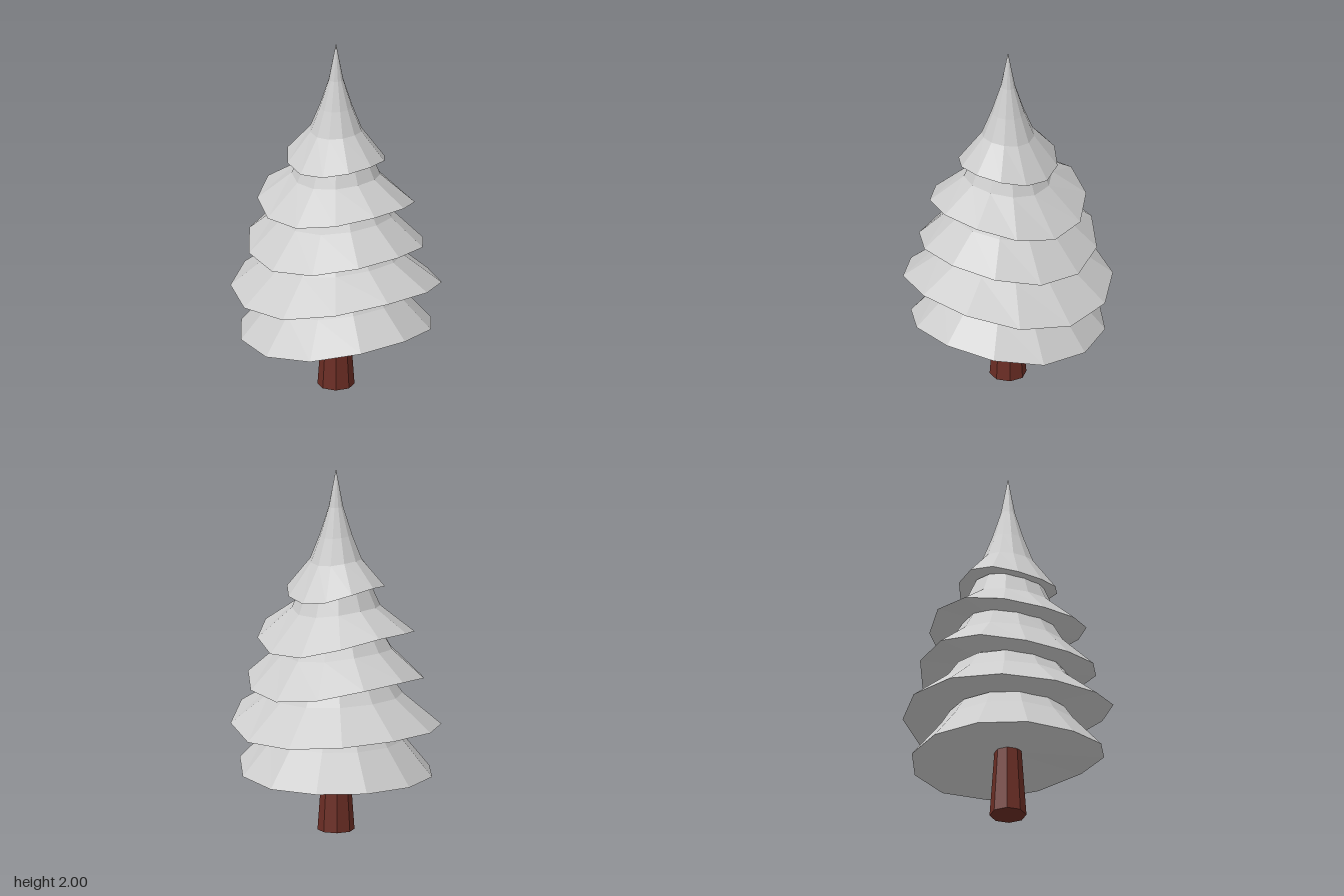
import * as THREE from 'three';

const SIDES = 12;

// One skirt of branches: a 12-sided lathe whose rim is lifted at the sides.
function makeTier({ rim, under, rings, apex, lift, skew = 0, offset = 0 }, material) {
  const profile = [[0, under], rim, ...rings, [0, apex]].map(([r, y]) => new THREE.Vector2(r, y));
  const geometry = new THREE.LatheGeometry(profile, SIDES, offset * Math.PI / SIDES);
  const pos = geometry.attributes.position;
  const [left, right, back] = lift;
  for (let i = 0; i < pos.count; i++) {
    const x = pos.getX(i), z = pos.getZ(i);
    const r = Math.hypot(x, z);
    const angle = Math.atan2(z, x) - skew;
    const c = Math.cos(angle), s = Math.sin(angle);
    const raise = (c > 0 ? left : right) * c * c + (s < 0 ? back : 0) * s * s;
    pos.setY(i, pos.getY(i) + raise * (r / rim[0]) ** 2);
  }
  geometry.computeVertexNormals();
  return new THREE.Mesh(geometry, material);
}

export function createModel() {
  const group = new THREE.Group();
  const foliage = new THREE.MeshStandardMaterial({ name: 'paleFoliage', color: 0xcccccc, flatShading: true });
  const bark = new THREE.MeshStandardMaterial({ name: 'brownBark', color: 0x6b2d24, flatShading: true });

  // Tapered eight-sided trunk
  const trunk = new THREE.Mesh(new THREE.CylinderGeometry(0.065, 0.1, 0.5, 8), bark);
  trunk.position.y = 0.25;
  trunk.name = 'trunk';
  group.add(trunk);

  // Skirts from bottom to top; lift is the rim's rise at +x, -x and the back
  const tiers = [
    { rim: [0.53, 0.315], under: 0.38, rings: [[0.37, 0.51], [0.32, 0.59]], apex: 0.72, lift: [0.095, 0, 0], skew: 0.1 },
    { rim: [0.57, 0.565], under: 0.61, rings: [[0.36, 0.75], [0.3, 0.84]], apex: 1.0, lift: [0.115, 0.035, -0.01], skew: 0.17, offset: 1 },
    { rim: [0.485, 0.805], under: 0.86, rings: [[0.31, 0.99], [0.25, 1.1]], apex: 1.25, lift: [0.085, 0.085, -0.015], skew: 0.1 },
    { rim: [0.425, 1.06], under: 1.11, rings: [[0.24, 1.23], [0.19, 1.345]], apex: 1.47, lift: [0.075, 0.08, -0.035], skew: 0.1, offset: 1 },
    { rim: [0.27, 1.31], under: 1.355, rings: [[0.143, 1.49], [0.09, 1.63], [0.04, 1.79]], apex: 2, lift: [0.045, 0.068, -0.013] },
  ];
  tiers.forEach((tier, i) => {
    const mesh = makeTier(tier, foliage);
    mesh.name = `branchTier${i + 1}`;
    group.add(mesh);
  });
  return group;
}
